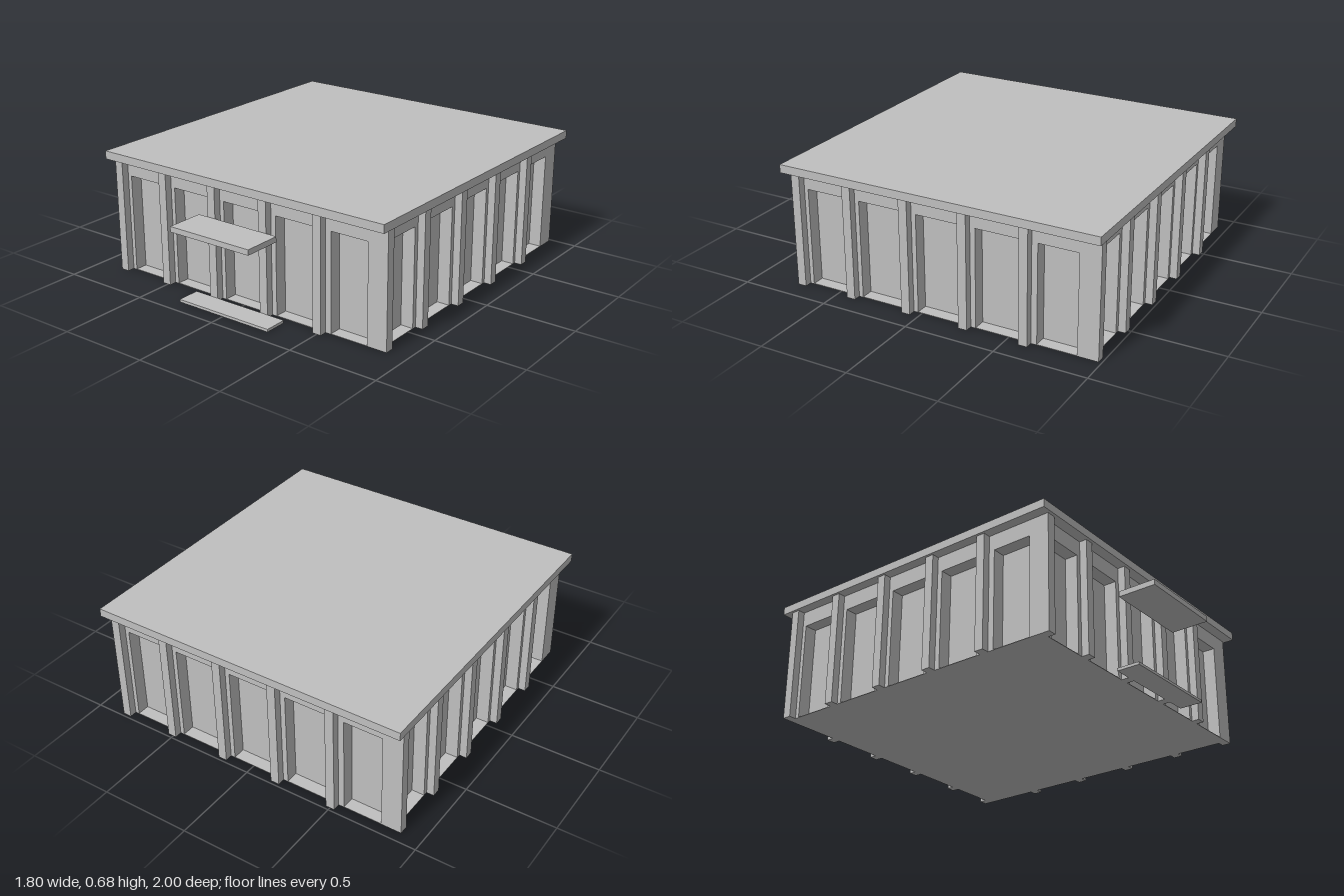
import * as THREE from 'three';

const HALF = 0.845;      // half width of the wall faces
const DEPTH = 0.07;      // wall thickness around the recesses
const EAVE = 0.63;       // wall height
const CENTRE_Z = -0.0975;

export function createModel() {
  const model = new THREE.Group();
  model.name = 'pavilion';
  const grey = new THREE.MeshStandardMaterial({ color: 0xbfbfbf });
  grey.name = 'concrete grey';

  // Box given by its min and max on each axis
  function box(parent, name, x0, x1, y0, y1, z0, z1) {
    const mesh = new THREE.Mesh(new THREE.BoxGeometry(x1 - x0, y1 - y0, z1 - z0), grey);
    mesh.position.set((x0 + x1) / 2, (y0 + y1) / 2, (z0 + z1) / 2);
    mesh.name = name;
    parent.add(mesh);
  }

  // Wall outline with five bays cut up from the ground
  const bays = [[-0.773, -0.557], [-0.458, -0.219], [-0.12, 0.118], [0.217, 0.455], [0.557, 0.773]];
  const bayTop = 0.543;
  const outline = new THREE.Shape();
  outline.moveTo(-HALF, 0);
  for (const [a, b] of bays) {
    outline.lineTo(a, 0);
    outline.lineTo(a, bayTop);
    outline.lineTo(b, bayTop);
    outline.lineTo(b, 0);
  }
  outline.lineTo(HALF - DEPTH, 0);
  outline.lineTo(HALF - DEPTH, EAVE);
  outline.lineTo(-HALF, EAVE);
  const wallGeometry = new THREE.ExtrudeGeometry(outline, { depth: DEPTH, bevelEnabled: false });
  wallGeometry.translate(0, 0, HALF - DEPTH);

  // Four identical sides turned about the centre, each with five pillars
  const pillarStarts = [-HALF, -0.531, -0.194, 0.14, 0.476];
  for (let side = 0; side < 4; side++) {
    const group = new THREE.Group();
    group.name = ['frontSide', 'leftSide', 'backSide', 'rightSide'][side];
    group.position.z = CENTRE_Z;
    group.rotation.y = side * Math.PI / 2;
    const wall = new THREE.Mesh(wallGeometry, grey);
    wall.name = 'wall';
    group.add(wall);
    for (const x of pillarStarts) box(group, 'pillar', x, x + 0.049, 0, EAVE, HALF - 0.005, HALF + 0.041);
    model.add(group);
  }

  // Recessed panels and floor
  const inner = HALF - DEPTH;
  box(model, 'recessedCore', -inner, inner, 0, EAVE, CENTRE_Z - inner, CENTRE_Z + inner);
  box(model, 'floorSlab', -HALF, HALF, 0, 0.003, CENTRE_Z - HALF, CENTRE_Z + HALF);

  // Flat roof
  box(model, 'roof', -0.9, 0.9, EAVE, 0.675, -1, 0.805);

  // Entrance canopy and step
  box(model, 'canopy', -0.254, 0.254, 0.426, 0.456, 0.788, 1);
  box(model, 'entranceStep', -0.293, 0.293, 0, 0.015, 0.788, 0.915);
  return model;
}
